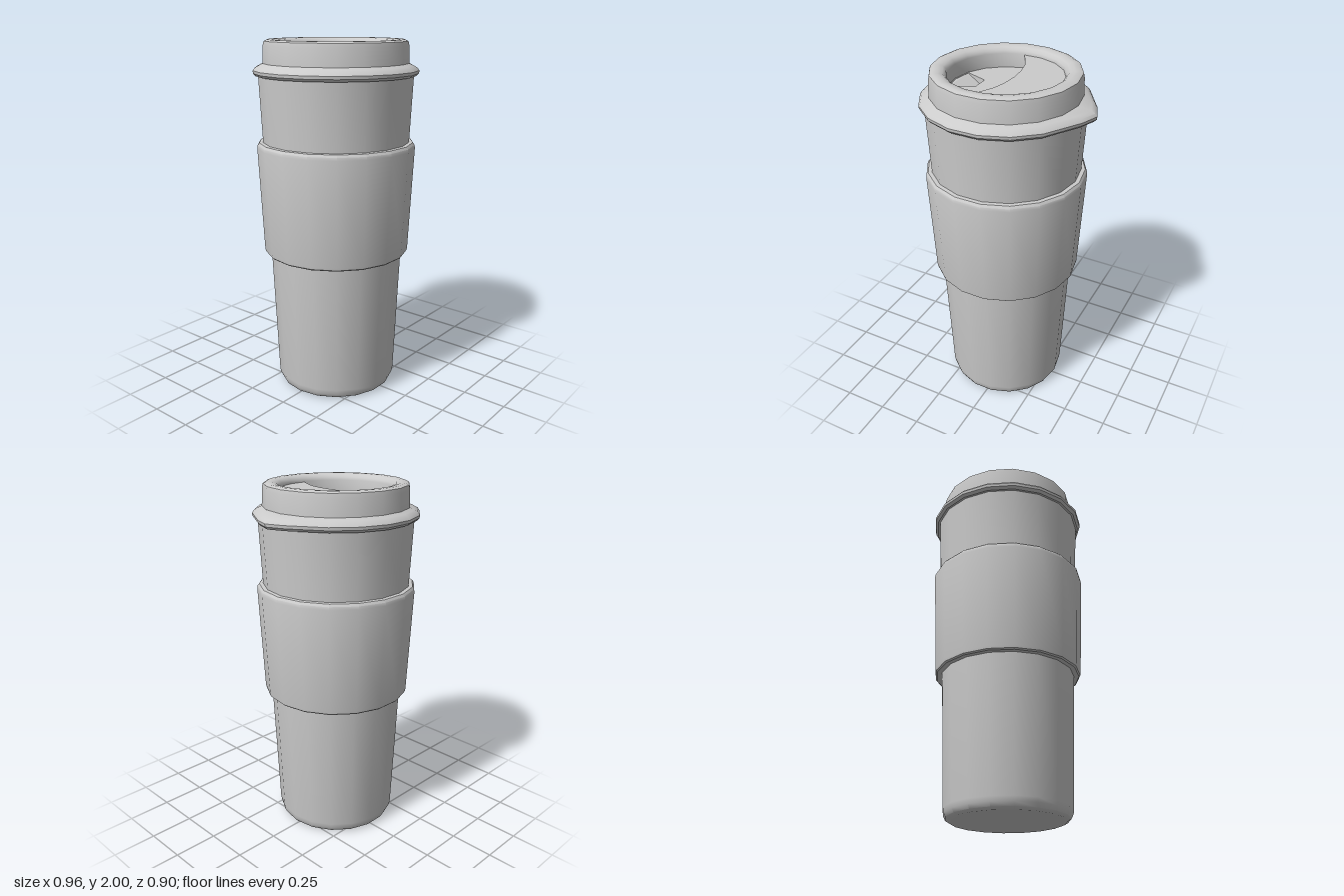
import * as THREE from 'three';
import { toCreasedNormals } from 'three/addons/utils/BufferGeometryUtils.js';

const SIDES = 18;
const material = new THREE.MeshStandardMaterial({ color: 0xcccccc, side: THREE.DoubleSide });

function addMesh(group, name, geometry, crease = 0.6) {
  const mesh = new THREE.Mesh(toCreasedNormals(geometry, crease), material);
  mesh.name = name;
  group.add(mesh);
}

// Turned part with a corner on +x; profile as [radius, y] pairs
function turned(profile) {
  const points = profile.map(([r, y]) => new THREE.Vector2(r, y));
  return new THREE.LatheGeometry(points, SIDES, Math.PI / 2);
}

// Points on the recess circle, from one side index to another
function recessArc(radius, from, to) {
  const points = [];
  for (let i = from; i <= to; i++) {
    const a = (i / SIDES) * Math.PI * 2;
    points.push(new THREE.Vector2(radius * Math.cos(a), radius * Math.sin(a)));
  }
  return points;
}

// Sunken drinking mouth: floor slopes down toward the middle of the lid
function mouthGeometry(outline, y) {
  const depth = 0.05;
  const low = outline.map((p) => [p.x, y - depth * THREE.MathUtils.clamp((p.x + 0.285) / 0.13, 0.05, 1), -p.y]);
  const high = outline.map((p) => [p.x, y, -p.y]);
  const n = outline.length;
  const corners = [];
  for (let i = 0; i < n; i++) {
    const j = (i + 1) % n;
    corners.push(high[i], high[j], low[j], high[i], low[j], low[i]);
    if (i > 0 && i < n - 1) corners.push(low[0], low[i], low[i + 1]);
  }
  const geometry = new THREE.BufferGeometry();
  geometry.setAttribute('position', new THREE.Float32BufferAttribute(corners.flat(), 3));
  return geometry;
}

export function createModel() {
  const model = new THREE.Group();
  model.name = 'travelCup';

  // Tapered cup with rounded foot
  addMesh(model, 'cupBody', turned([
    [0, 0], [0.312, 0], [0.332, 0.012], [0.343, 0.035], [0.347, 0.06],
    [0.378, 0.81], [0.41, 1.44], [0.428, 1.82], [0.39, 1.83],
  ]));

  // Grip sleeve
  addMesh(model, 'sleeve', turned([
    [0.376, 0.808], [0.405, 0.808], [0.413, 0.815], [0.416, 0.83],
    [0.444, 1.415], [0.442, 1.432], [0.432, 1.445], [0.408, 1.447],
  ]));

  // Lid: flange, collar, rounded rim and recess wall
  const lid = new THREE.Group();
  lid.name = 'lid';
  model.add(lid);
  const rim = turned([
    [0.39, 1.808], [0.44, 1.808], [0.454, 1.822], [0.456, 1.838], [0.445, 1.853],
    [0.425, 1.864], [0.402, 1.875], [0.398, 1.97], [0.393, 1.992], [0.375, 2],
    [0.35, 2], [0.325, 1.994], [0.31, 1.98], [0.305, 1.965], [0.305, 1.88],
  ]);
  // Pull the flange out into a pointed opening tab on +x
  const pos = rim.attributes.position;
  for (let i = 0; i < pos.count; i++) {
    const r = Math.hypot(pos.getX(i), pos.getZ(i));
    const a = Math.atan2(pos.getZ(i), pos.getX(i));
    if (r < 0.42 || Math.abs(a) > 0.4) continue;
    const reach = r + (Math.abs(a) < 0.1 ? 0.049 : 0.022);
    pos.setX(i, reach * Math.cos(a * 0.6));
    pos.setZ(i, reach * Math.sin(a * 0.6));
  }
  addMesh(lid, 'lidRim', rim);

  // Deep recess floor with the mouth cut out
  const floorY = 1.888;
  const mouth = [[-0.283, 0.1], [-0.3, 0], [-0.283, -0.1], [-0.155, -0.05], [-0.155, 0.05]]
    .map(([x, y]) => new THREE.Vector2(x, y));
  const floor = new THREE.Shape(recessArc(0.308, 0, SIDES - 1));
  floor.holes.push(new THREE.Path(mouth));
  addMesh(lid, 'recessFloor', new THREE.ShapeGeometry(floor).rotateX(-Math.PI / 2).translate(0, floorY, 0));
  addMesh(lid, 'mouth', mouthGeometry(mouth, floorY), 0.3);

  // Raised half of the recess with a curved step
  const step = [[-0.045, 0.303], [0.022, 0.17], [0.04, 0.09], [0.047, 0], [0.04, -0.09], [0.022, -0.17], [-0.045, -0.303]]
    .map(([x, y]) => new THREE.Vector2(x, y));
  const raised = new THREE.Shape([...recessArc(0.307, -4, 4), ...step]);
  addMesh(lid, 'raisedFloor', new THREE.ExtrudeGeometry(raised, { depth: 0.075, bevelEnabled: false })
    .rotateX(-Math.PI / 2).translate(0, floorY - 0.002, 0));

  // Offset so the tab is included in the centring
  model.children.forEach((part) => part.position.set(-0.026, 0, 0.004));
  return model;
}
